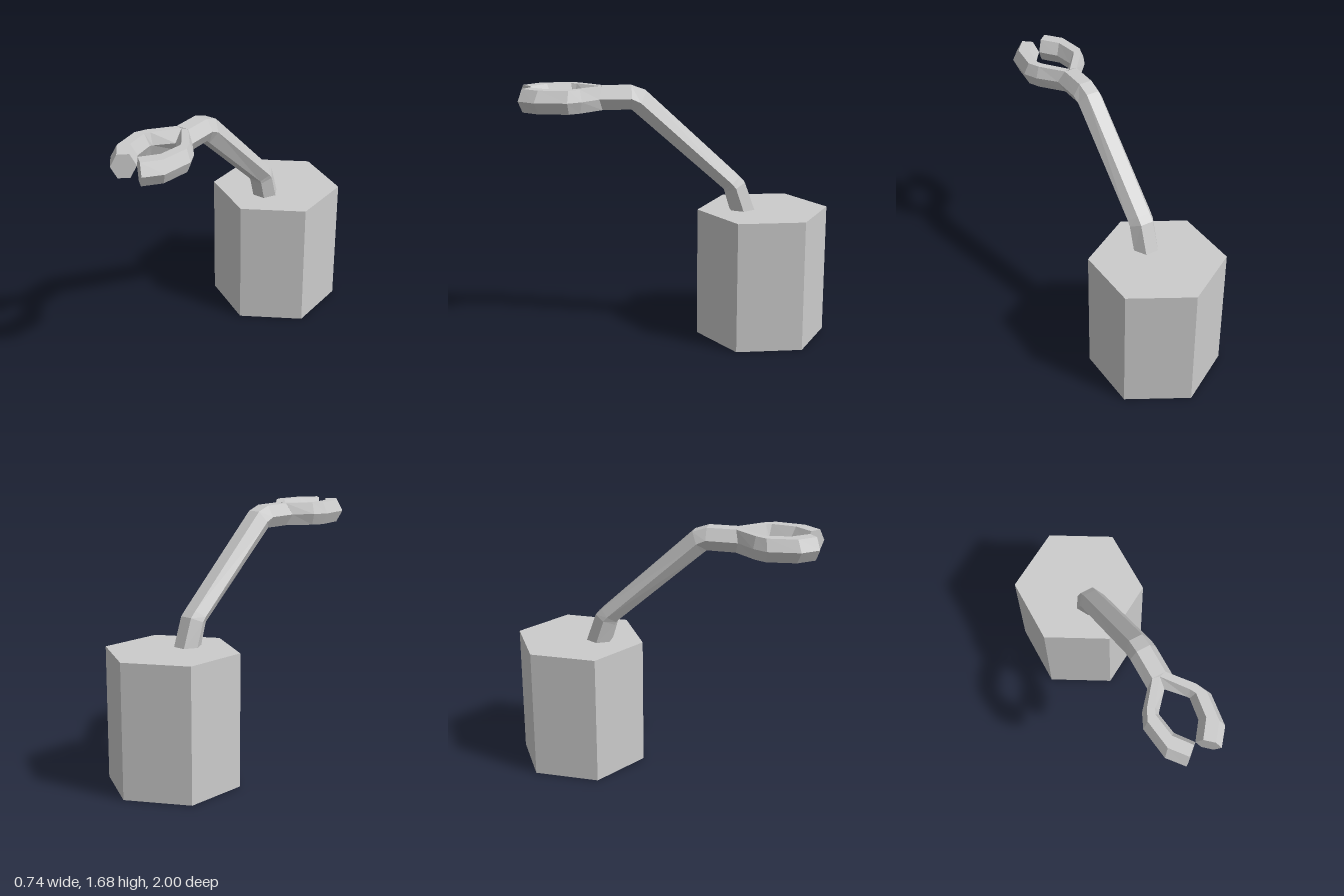
import * as THREE from 'three';

const material = new THREE.MeshStandardMaterial({ color: 0xcccccc, flatShading: true });

// Skin a list of equal-length rings (counter-clockwise about the direction of travel), capped at both ends
function loft(rings) {
  const n = rings[0].length, pos = [];
  const tri = (...pts) => pts.forEach((p) => pos.push(...p));
  for (let i = 0; i < rings.length - 1; i++) {
    for (let j = 0; j < n; j++) {
      const k = (j + 1) % n;
      const a = rings[i][j], b = rings[i][k], c = rings[i + 1][k], d = rings[i + 1][j];
      tri(a, b, c);
      tri(a, c, d);
    }
  }
  const first = rings[0], last = rings[rings.length - 1];
  for (let j = 1; j < n - 1; j++) {
    tri(first[0], first[j + 1], first[j]);
    tri(last[0], last[j], last[j + 1]);
  }
  const geometry = new THREE.BufferGeometry();
  geometry.setAttribute('position', new THREE.Float32BufferAttribute(pos, 3));
  geometry.computeVertexNormals();
  return geometry;
}

function addMesh(group, name, geometry) {
  const mesh = new THREE.Mesh(geometry, material);
  mesh.name = name;
  group.add(mesh);
  return mesh;
}

// Hexagonal arm section from its upper and lower edge, with the side corners halfway between
function armRing([topZ, topY, lowZ, lowY, sideZ = (topZ + lowZ) / 2]) {
  const w = 0.085, f = 0.043, midY = (topY + lowY) / 2;
  return [
    [w, midY, sideZ], [f, topY, topZ], [-f, topY, topZ],
    [-w, midY, sideZ], [-f, lowY, lowZ], [f, lowY, lowZ],
  ];
}

// Hexagonal prong section between an outer and an inner corner, given as x, z
function prongRing([ox, oz, ix, iz], side) {
  const midY = 1.61, h = 0.074;
  const at = (t, y) => [side * (ox + (ix - ox) * t), midY + y, oz + (iz - oz) * t];
  const ring = [at(0, 0), at(0.26, h), at(0.74, h), at(1, 0), at(0.74, -h), at(0.26, -h)];
  return side > 0 ? ring : ring.reverse();
}

export function createModel() {
  const model = new THREE.Group();
  model.name = 'hookArm';

  // Hexagonal base block
  addMesh(model, 'base', new THREE.CylinderGeometry(0.43, 0.43, 0.86, 6))
    .position.set(0, 0.43, -0.57);

  // Bent arm rising forward out of the base: upper z, y and lower z, y of each section
  const armSections = [
    [-0.51, 0.86, -0.355, 0.86],
    [-0.445, 1.045, -0.318, 0.985],
    [-0.405, 1.085, -0.308, 1.005],
    [0.195, 1.65, 0.262, 1.515],
    [0.285, 1.682, 0.288, 1.537],
    [0.47, 1.683, 0.47, 1.536, 0.49],
  ];
  addMesh(model, 'arm', loft(armSections.map(armRing)));

  // Two mirrored prongs curving towards each other: outer x, z and inner x, z
  const prongSections = [
    [0.085, 0.49, 0.09, 0.64],
    [0.18, 0.6, 0.09, 0.64],
    [0.222, 0.69, 0.1, 0.655],
    [0.196, 0.894, 0.08, 0.79],
    [0.114, 0.995, 0, 0.895],
  ];
  for (const [name, side] of [['leftProng', 1], ['rightProng', -1]]) {
    const rings = prongSections.map((s) => prongRing(s, side));
    // The root section meets the end of the arm at the centre plane
    const root = [
      [0.085, 1.61, 0.49], [0.043, 1.683, 0.47], [0, 1.683, 0.48],
      [0, 1.61, 0.54], [0, 1.536, 0.48], [0.043, 1.536, 0.47],
    ].map(([x, y, z]) => [side * x, y, z]);
    rings[0] = side > 0 ? root : root.reverse();
    addMesh(model, name, loft(rings));
  }
  return model;
}
